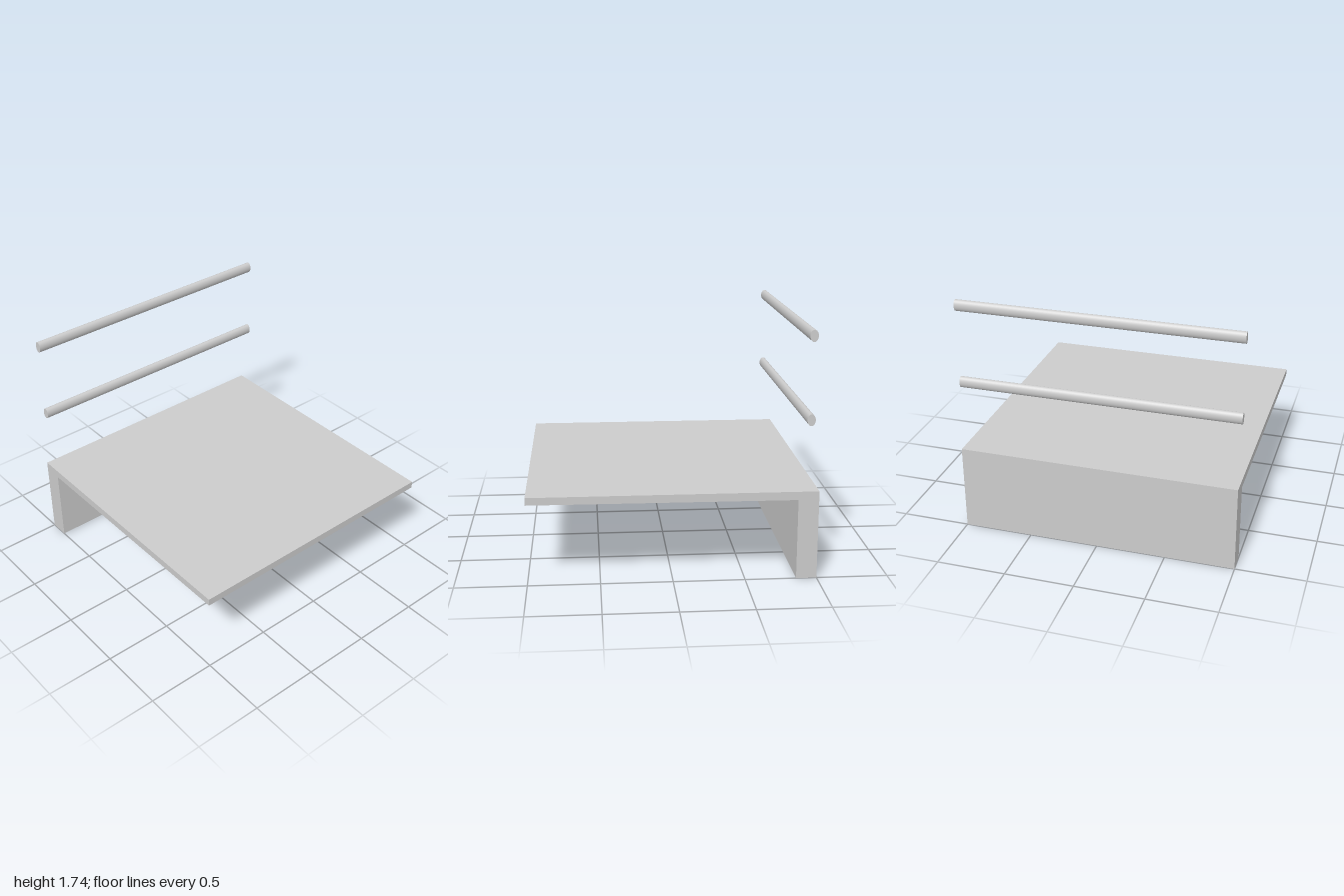
import * as THREE from 'three';

const grey = new THREE.MeshStandardMaterial({ color: 0xcccccc });

export function createModel() {
  const model = new THREE.Group();
  model.name = 'ledgeWithRails';

  // Slab and back wall as one L-shaped side profile (z, y), extruded across x
  const profile = new THREE.Shape([
    [-1, 0], [-0.857, 0], [-0.857, 0.571], [1, 0.577], [1, 0.63], [-1, 0.63],
  ].map(([z, y]) => new THREE.Vector2(z, y)));
  const ledgeGeometry = new THREE.ExtrudeGeometry(profile, { depth: 2, bevelEnabled: false });
  ledgeGeometry.rotateY(-Math.PI / 2).translate(1, 0, 0);
  const ledge = new THREE.Mesh(ledgeGeometry, grey);
  ledge.name = 'ledge';
  model.add(ledge);

  // Two horizontal oval rails above the back edge
  const railGeometry = new THREE.CylinderGeometry(1, 1, 2, 32);
  railGeometry.rotateZ(Math.PI / 2).scale(1, 0.041, 0.028);
  [['lowerRail', 1.131], ['upperRail', 1.703]].forEach(([name, y]) => {
    const rail = new THREE.Mesh(railGeometry, grey);
    rail.name = name;
    rail.position.set(0, y, -0.928);
    model.add(rail);
  });

  return model;
}
